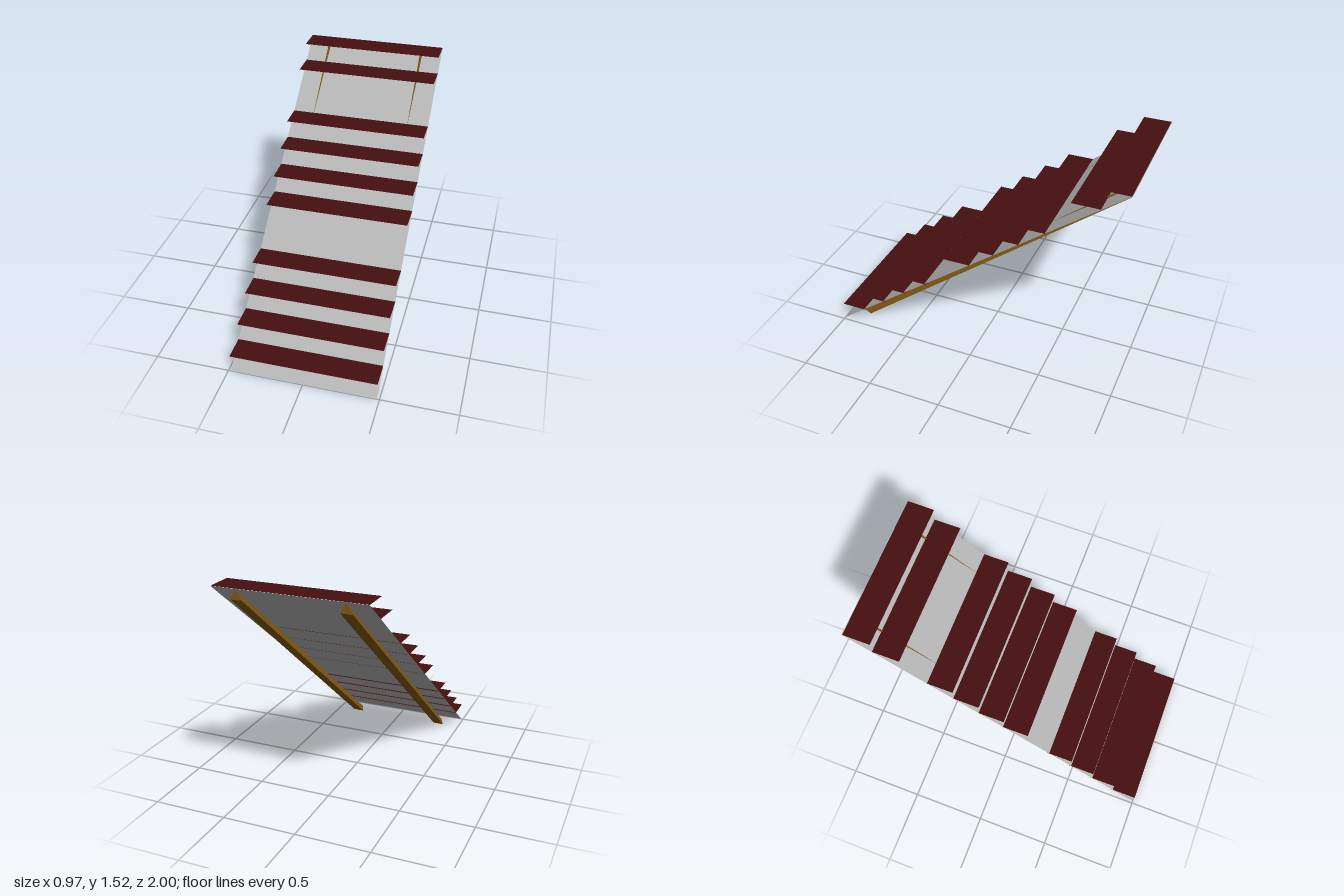
import * as THREE from 'three';

const WIDTH = 0.97, RISE = 0.1265, TREAD_DEPTH = 0.179;

// Flat quad from four corners
function quad(a, b, c, d) {
  const g = new THREE.BufferGeometry();
  g.setAttribute('position', new THREE.Float32BufferAttribute([...a, ...b, ...c, ...d], 3));
  g.setIndex([0, 1, 2, 0, 2, 3]);
  g.computeVertexNormals();
  return g;
}

// Sloping three-sided beam: ridge on top, level cut at the foot, plumb cut at the head
function beamGeometry() {
  const hw = 0.038;
  const foot = [[0, 0, 0.938], [-hw, 0, 0.85], [hw, 0, 0.85]];
  const head = [[0, 1.512, -0.97], [-hw, 1.442, -0.97], [hw, 1.442, -0.97]];
  const g = new THREE.BufferGeometry();
  g.setAttribute('position', new THREE.Float32BufferAttribute([...foot, ...head].flat(), 3));
  const index = [0, 1, 2, 3, 5, 4];
  for (let i = 0; i < 3; i++) {
    const j = (i + 1) % 3;
    index.push(i, i + 3, j, j, i + 3, j + 3);
  }
  g.setIndex(index);
  const flat = g.toNonIndexed();
  flat.computeVertexNormals();
  return flat;
}

export function createModel() {
  const sheetGrey = new THREE.MeshStandardMaterial({ color: 0xb4b4b4, side: THREE.DoubleSide });
  const treadRed = new THREE.MeshStandardMaterial({ color: 0x460f10, side: THREE.DoubleSide });
  const beamBrown = new THREE.MeshStandardMaterial({ color: 0x825914, side: THREE.DoubleSide });
  sheetGrey.name = 'sheetGrey';
  treadRed.name = 'treadRed';
  beamBrown.name = 'beamBrown';

  const group = new THREE.Group();
  group.name = 'staircase';
  const add = (name, geometry, material) => {
    const mesh = new THREE.Mesh(geometry, material);
    mesh.name = name;
    group.add(mesh);
    return mesh;
  };

  // Sloping backing sheet
  const h = WIDTH / 2, top = 12 * RISE;
  add('slopingSheet', quad([-h, 0, 1], [h, 0, 1], [h, top, -1], [-h, top, -1]), sheetGrey);

  // Three flights of treads, with the fifth and tenth steps missing
  const flights = [
    { first: 1, count: 4, front: 1 },
    { first: 6, count: 4, front: 0.176 },
    { first: 11, count: 2, front: -0.65 },
  ];
  for (const { first, count, front } of flights) {
    for (let i = 0; i < count; i++) {
      const y = (first + i) * RISE;
      const z = front - i * 0.1675;
      const back = Math.max(-1, z - TREAD_DEPTH);
      add(`tread${first + i}`, quad([-h, y, z], [h, y, z], [h, y, back], [-h, y, back]), treadRed);
    }
  }

  // Pair of supporting beams
  const beam = beamGeometry();
  add('leftBeam', beam, beamBrown).position.x = 0.34;
  add('rightBeam', beam, beamBrown).position.x = -0.34;

  return group;
}
